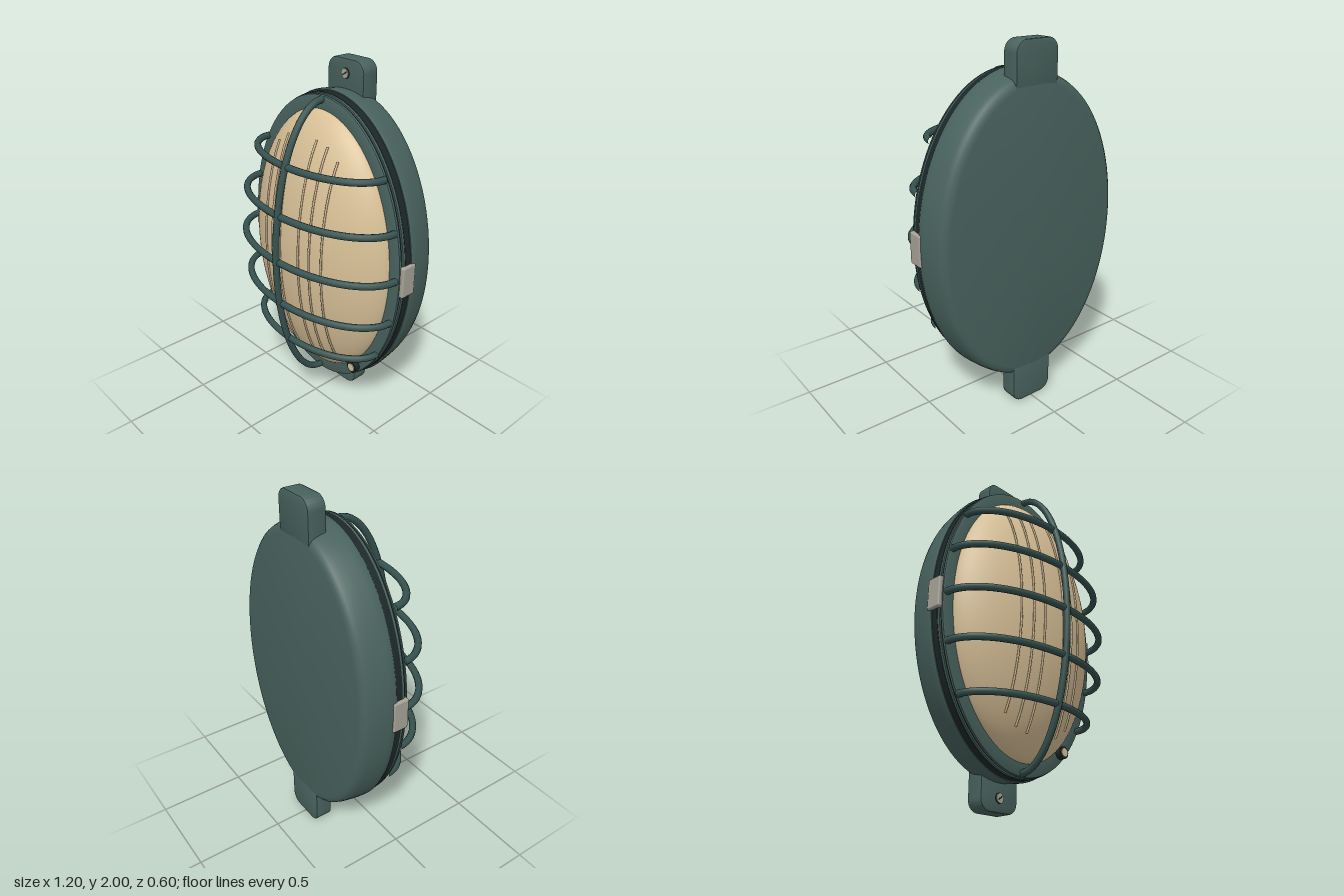
import * as THREE from 'three';
import { toCreasedNormals } from 'three/addons/utils/BufferGeometryUtils.js';
import { RoundedBoxGeometry } from 'three/addons/geometries/RoundedBoxGeometry.js';

const mat = (name, color) => {
  const m = new THREE.MeshStandardMaterial({ color });
  m.name = name;
  return m;
};

export function createModel() {
  const green = mat('green enamel', 0x48625d);
  const cageGreen = mat('dark green cage', 0x36524f);
  const rubber = mat('black rubber', 0x1d2727);
  const glass = mat('amber glass', 0xd8c097);
  const steel = mat('grey steel', 0xa6a297);

  const root = new THREE.Group();
  root.name = 'bulkheadLamp';
  const lamp = new THREE.Group(); // lamp centre at its origin
  lamp.name = 'lamp';
  lamp.position.y = 1;
  root.add(lamp);

  const add = (name, geometry, material, x = 0, y = 0, z = 0, parent = lamp) => {
    const mesh = new THREE.Mesh(geometry, material);
    mesh.name = name;
    mesh.position.set(x, y, z);
    parent.add(mesh);
    return mesh;
  };

  // Turned profile of [x radius, z], stretched to an oval with an even rim
  const STRETCH = 0.262;
  const oval = (profile, crease = 0.6) => {
    const g = new THREE.LatheGeometry(profile.map(p => new THREE.Vector2(...p)), 96);
    g.rotateX(Math.PI / 2);
    const pos = g.attributes.position;
    for (let i = 0; i < pos.count; i++) {
      const x = pos.getX(i), y = pos.getY(i), r = Math.hypot(x, y);
      if (r > 1e-4) pos.setY(i, y + (y / r) * STRETCH);
    }
    return toCreasedNormals(g, crease);
  };

  // Housing, gasket and bezel
  add('housing', oval([
    [0, -0.303], [0.525, -0.303], [0.548, -0.298], [0.566, -0.282], [0.576, -0.255],
    [0.585, -0.21], [0.591, -0.165], [0.594, -0.13], [0.59, -0.118], [0.5, -0.118],
  ]), green);
  add('gasket', oval([[0.5, -0.12], [0.585, -0.12], [0.585, -0.078], [0.5, -0.078]]), rubber);
  add('bezel', oval([
    [0.5, -0.08], [0.583, -0.08], [0.583, -0.064], [0.57, -0.062], [0.57, -0.056],
    [0.58, -0.054], [0.577, -0.044], [0.57, -0.04], [0.508, -0.04], [0.505, -0.08],
  ]), green);
  add('bezelGroove', oval([[0.55, -0.064], [0.575, -0.064], [0.575, -0.054], [0.55, -0.054]]), rubber);

  // Domed glass
  const DX = 0.513, DY = 0.77;
  const domeZ = r2 => -0.045 + 0.24 * Math.pow(Math.max(0, 1 - r2), 0.65);
  const domeProfile = [];
  for (let i = 0; i <= 28; i++) {
    const r = Math.cos((i / 28) * Math.PI / 2);
    domeProfile.push(new THREE.Vector2(i === 28 ? 0 : r, domeZ(r * r)));
  }
  const dome = new THREE.LatheGeometry(domeProfile, 96);
  dome.rotateX(Math.PI / 2);
  dome.scale(DX, DY, 1);
  add('glassDome', dome, glass);

  // Fine ribs moulded along the glass
  const ribs = [[0.075, 0.65], [0.15, 0.63], [0.225, 0.575]];
  for (const [rx, half] of ribs) {
    for (const side of [-1, 1]) {
      const pts = [];
      for (let i = 0; i <= 20; i++) {
        const y = half * (i / 10 - 1);
        pts.push(new THREE.Vector3(rx * side, y, domeZ((rx / DX) ** 2 + (y / DY) ** 2) + 0.004));
      }
      add('glassRib', new THREE.TubeGeometry(new THREE.CatmullRomCurve3(pts), 48, 0.006, 6), glass);
    }
  }

  // Guard cage: half-oval bars rising from the bezel
  const Z0 = -0.045, R = 0.019;
  const bar = (name, half, depth, vertical, y = 0) => {
    const pts = [];
    for (let i = 0; i <= 24; i++) {
      const a = (i / 24) * Math.PI;
      const u = half * Math.cos(a), z = Z0 + depth * Math.sin(a);
      pts.push(vertical ? new THREE.Vector3(0, u, z) : new THREE.Vector3(u, y, z));
    }
    add(name, new THREE.TubeGeometry(new THREE.CatmullRomCurve3(pts), 72, R, 10), cageGreen);
  };
  bar('cageSpine', 0.822, 0.327, true);
  const hoops = [[-0.51, 0.448], [-0.257, 0.535], [0.005, 0.557], [0.266, 0.535], [0.522, 0.448]];
  for (const [y, half] of hoops) {
    bar('cageHoop', half, 0.319 * Math.sqrt(1 - (y / 0.825) ** 2), false, y);
  }

  // Side clips
  for (const side of [-1, 1]) {
    add('sideClip', new RoundedBoxGeometry(0.04, 0.175, 0.092, 3, 0.01), steel, side * 0.58, 0.003, -0.095);
  }

  // Small plug on the lower left of the bezel
  const disc = (r, h) => new THREE.CylinderGeometry(r, r, h, 24).rotateX(Math.PI / 2);
  add('plugCollar', disc(0.034, 0.045), rubber, 0.295, -0.665, -0.03);
  add('plugCap', disc(0.023, 0.05), glass, 0.295, -0.665, -0.028);

  // Mounting tabs with screws, top and bottom
  const tabShape = new THREE.Shape();
  const w = 0.122, top = 0.992, low = 0.78, c = 0.055;
  tabShape.moveTo(-w, low);
  tabShape.lineTo(w, low);
  tabShape.lineTo(w, top - c);
  tabShape.absarc(w - c, top - c, c, 0, Math.PI / 2);
  tabShape.absarc(-w + c, top - c, c, Math.PI / 2, Math.PI);
  tabShape.closePath();
  const tabGeometry = toCreasedNormals(new THREE.ExtrudeGeometry(tabShape, {
    depth: 0.085, bevelEnabled: true, bevelThickness: 0.008, bevelSize: 0.008,
    bevelSegments: 2, curveSegments: 10,
  }), 0.6);
  for (const turn of [0, Math.PI]) {
    const tab = new THREE.Group();
    tab.name = turn ? 'lowerTab' : 'upperTab';
    tab.rotation.z = turn;
    lamp.add(tab);
    add('tabPlate', tabGeometry, green, 0, 0, -0.295, tab);
    add('screwRecess', disc(0.029, 0.004), rubber, 0, 0.925, -0.201, tab);
    add('screwHead', disc(0.025, 0.008), steel, 0, 0.925, -0.199, tab);
    const slot = add('screwSlot', new THREE.BoxGeometry(0.034, 0.007, 0.003), rubber, 0, 0.925, -0.195, tab);
    slot.rotation.z = 0.6;
  }
  return root;
}
